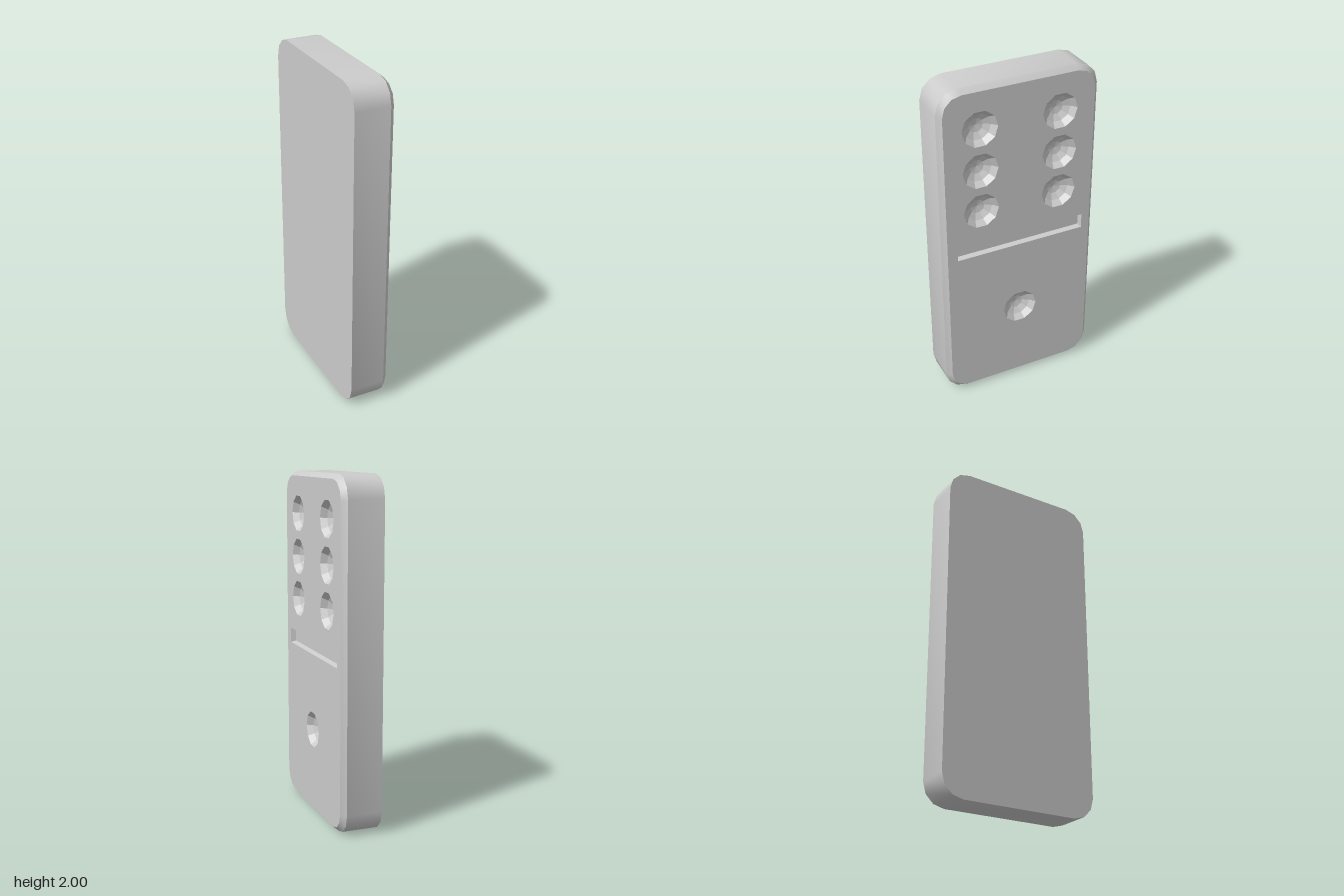
import * as THREE from 'three';
import { toCreasedNormals } from 'three/addons/utils/BufferGeometryUtils.js';

const material = new THREE.MeshStandardMaterial({ color: 0xcccccc });
const FACE = 0.12; // level of the front face
const V2 = (x, y) => new THREE.Vector2(x, y);

// Counter-clockwise rounded rectangle centred on (0, 1)
function roundedOutline(halfW, halfH, r, steps) {
  const pts = [];
  [[1, 1], [-1, 1], [-1, -1], [1, -1]].forEach(([sx, sy], corner) => {
    for (let i = 0; i <= steps; i++) {
      const a = (corner + i / steps) * Math.PI / 2;
      pts.push(V2(sx * (halfW - r) + r * Math.cos(a), 1 + sy * (halfH - r) + r * Math.sin(a)));
    }
  });
  return pts;
}

function rectangle(x0, x1, y0, y1) {
  return [V2(x0, y0), V2(x1, y0), V2(x1, y1), V2(x0, y1)];
}

function circle(cx, cy, r, sides) {
  return Array.from({ length: sides }, (_, i) => {
    const a = i / sides * Math.PI * 2;
    return V2(cx + r * Math.cos(a), cy + r * Math.sin(a));
  });
}

// Faceted wall joining successive rings given as [points, depth]
function wall(rings) {
  const pos = [];
  for (let k = 0; k + 1 < rings.length; k++) {
    const [p, zp] = rings[k], [q, zq] = rings[k + 1];
    for (let i = 0; i < p.length; i++) {
      const j = (i + 1) % p.length;
      const a = [p[i].x, p[i].y, zp], b = [p[j].x, p[j].y, zp];
      const c = [q[j].x, q[j].y, zq], d = [q[i].x, q[i].y, zq];
      pos.push(...a, ...b, ...c, ...a, ...c, ...d);
    }
  }
  const geo = new THREE.BufferGeometry();
  geo.setAttribute('position', new THREE.Float32BufferAttribute(pos, 3));
  geo.computeVertexNormals();
  return geo;
}

export function createModel() {
  const model = new THREE.Group();
  model.name = 'domino';
  const tile = new THREE.Group();
  tile.name = 'tile';
  tile.rotation.y = Math.PI / 2; // spotted face looks towards +x
  model.add(tile);
  const add = (name, geo) => {
    const mesh = new THREE.Mesh(geo, material);
    mesh.name = name;
    tile.add(mesh);
    return mesh;
  };

  // Sides with rounded corners, and the chamfer around the face
  const outer = roundedOutline(0.48, 1, 0.13, 3);
  const inner = roundedOutline(0.453, 0.973, 0.11, 3);
  add('sides', toCreasedNormals(wall([[outer, -FACE], [outer, 0.09]]), 0.6));
  add('chamfer', toCreasedNormals(wall([[outer, 0.09], [inner, FACE]]), 0.6));

  // Plain back
  const back = add('back', new THREE.ShapeGeometry(new THREE.Shape(outer)));
  back.rotation.y = Math.PI;
  back.position.z = -FACE;

  const face = new THREE.Shape(inner);
  const cut = (pts) => face.holes.push(new THREE.Path(pts));

  // Pips: six above, one below, each a shallow ten-sided bowl
  const pips = [[0, 0.505]];
  for (const y of [1.25, 1.502, 1.755]) for (const x of [-0.241, 0.241]) pips.push([x, y]);
  const radius = 0.107, spread = 1.05, sphere = radius / Math.sin(spread);
  for (const [x, y] of pips) {
    cut(circle(x, y, radius, 10));
    const rings = [];
    for (let k = 0; k <= 3; k++) {
      const t = spread * (1 - k / 3);
      rings.push([circle(x, y, sphere * Math.sin(t), 10),
        FACE - sphere * (Math.cos(t) - Math.cos(spread))]);
    }
    add('pip', wall(rings));
  }

  // Dividing groove with slightly sloped walls
  const rim = rectangle(-0.393, 0.403, 0.958, 1.047);
  const floor = rectangle(-0.385, 0.395, 0.966, 1.039);
  cut(rim);
  add('grooveWalls', wall([[rim, FACE], [floor, FACE - 0.03]]));
  add('grooveFloor', new THREE.ShapeGeometry(new THREE.Shape(floor))).position.z = FACE - 0.03;

  // Face pierced by pips and groove
  add('face', new THREE.ShapeGeometry(face)).position.z = FACE;

  return model;
}
